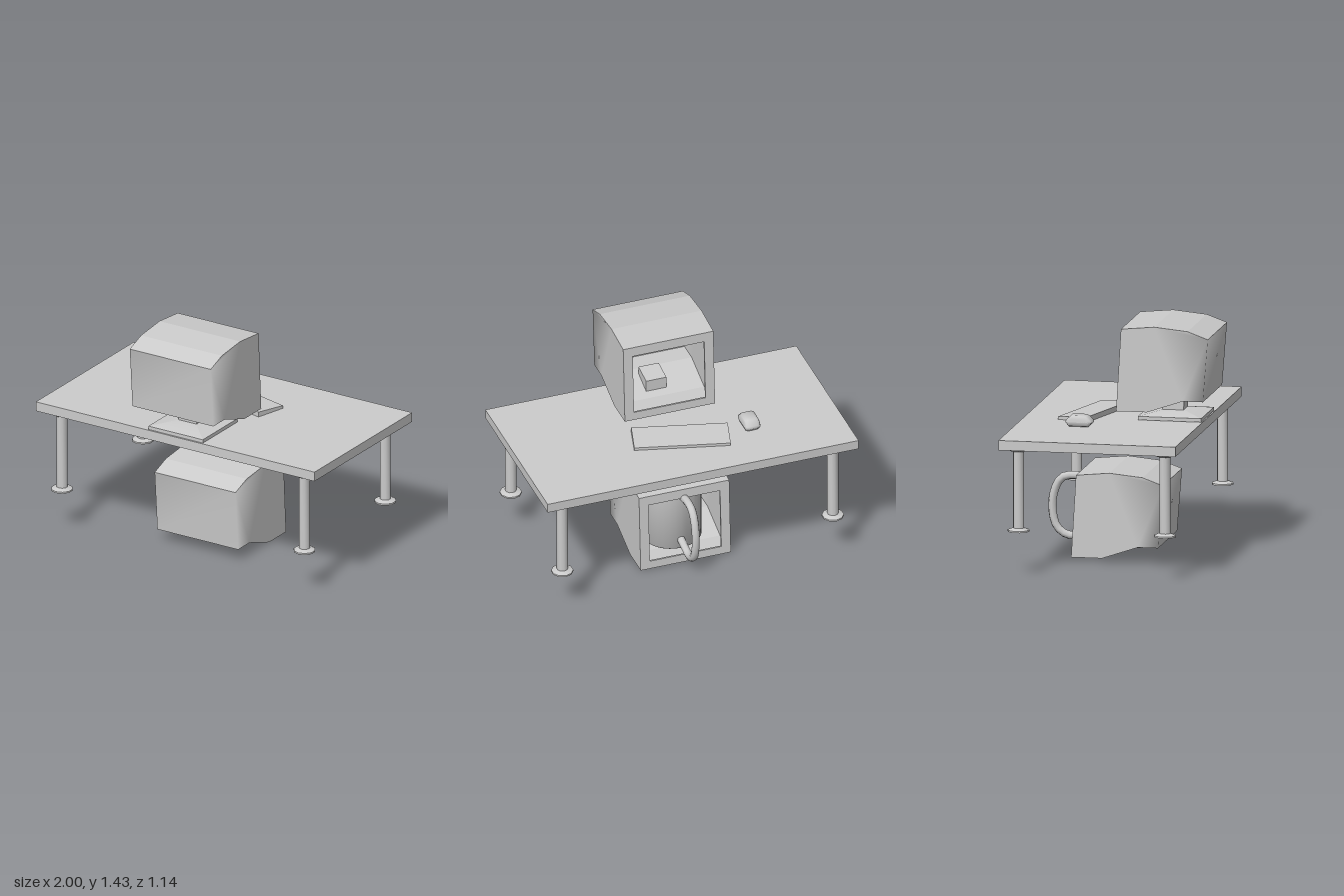
import * as THREE from 'three';
import { toCreasedNormals, mergeVertices, mergeGeometries } from 'three/addons/utils/BufferGeometryUtils.js';

const grey = new THREE.MeshStandardMaterial({ color: 0xcccccc });
const thin = new THREE.MeshStandardMaterial({ color: 0xcccccc, side: THREE.DoubleSide });

function add(parent, name, geometry, x = 0, y = 0, z = 0, material = grey) {
  const mesh = new THREE.Mesh(geometry, material);
  mesh.name = name;
  mesh.position.set(x, y, z);
  parent.add(mesh);
  return mesh;
}

// Extrude a side profile of [z, y] points across x, centred on x = 0
function sideExtrude(points, width, bevel = 0) {
  const shape = new THREE.Shape(points.map(p => new THREE.Vector2(...p)));
  const depth = width - 2 * bevel;
  const geo = new THREE.ExtrudeGeometry(shape, {
    depth, bevelEnabled: bevel > 0, bevelSize: bevel, bevelThickness: bevel,
    bevelOffset: -bevel, bevelSegments: 2
  });
  return geo.translate(0, 0, -depth / 2).rotateY(-Math.PI / 2);
}

// Open-fronted casing: walls shade smoothly together, top and bottom stay crisp
function casingGeometry(profile, width) {
  const source = sideExtrude(profile, width);
  const pos = source.attributes.position;
  const walls = [], caps = [];
  const tri = new THREE.Triangle(), n = new THREE.Vector3();
  for (let i = 0; i < pos.count; i += 3) {
    tri.setFromAttributeAndIndices(pos, i, i + 1, i + 2);
    tri.getNormal(n);
    if (n.z < -0.8) continue; // the bezel takes the place of this face
    const list = Math.abs(n.y) > 0.25 || n.y > 0.09 || n.y < -0.09 ? caps : walls;
    for (const v of [tri.a, tri.b, tri.c]) list.push(v.x, v.y, v.z);
  }
  const make = list => {
    const g = new THREE.BufferGeometry();
    g.setAttribute('position', new THREE.Float32BufferAttribute(list, 3));
    return g;
  };
  const smooth = mergeVertices(make(walls), 1e-4);
  smooth.computeVertexNormals();
  const flat = make(caps);
  flat.computeVertexNormals();
  return mergeGeometries([smooth.toNonIndexed(), flat]);
}

// Hollow monitor casing with a framed opening on its -z side
function createCasing(name) {
  const group = new THREE.Group();
  group.name = name;
  const profile = [
    [0.01, 0.91], [0.20, 0.91], [0.42, 0.985], [0.545, 0.985],
    [0.575, 1.37], [0.45, 1.415], [0.245, 1.435], [0.04, 1.415]
  ];
  add(group, 'casingShell', casingGeometry(profile, 0.58), 0, 0, 0, thin);

  const rect = (Type, w, y0, y1) => new Type([
    new THREE.Vector2(-w, y0), new THREE.Vector2(w, y0),
    new THREE.Vector2(w, y1), new THREE.Vector2(-w, y1)
  ]);
  const frame = rect(THREE.Shape, 0.29, 0, 0.506);
  frame.holes.push(rect(THREE.Path, 0.23, 0.052, 0.445));
  const bezel = add(group, 'screenBezel',
    new THREE.ExtrudeGeometry(frame, { depth: 0.012, bevelEnabled: false }), 0, 0.91, 0.01, thin);
  bezel.rotation.x = Math.atan2(0.03, 0.505);
  return group;
}

function lathe(points, sides) {
  const geo = new THREE.LatheGeometry(points.map(p => new THREE.Vector2(...p)), sides);
  return toCreasedNormals(geo, 0.9);
}

export function createModel() {
  const model = new THREE.Group();
  model.name = 'computerDesk';

  // Table
  const table = new THREE.Group();
  table.name = 'table';
  model.add(table);
  add(table, 'tableTop', new THREE.BoxGeometry(2, 0.06, 1.09), 0, 0.81, -0.025);
  const legGeo = lathe([
    [0, 0.262], [0.067, 0.262], [0.067, 0.272], [0.034, 0.284], [0.034, 0.757],
    [0.05, 0.757], [0.063, 0.765], [0.063, 0.782], [0, 0.782]
  ], 10);
  for (const x of [-0.87, 0.87])
    for (const z of [-0.472, 0.43]) add(table, 'tableLeg', legGeo, x, 0, z);

  // Monitor on its stand
  const monitor = createCasing('monitor');
  model.add(monitor);
  add(monitor, 'standBase', new THREE.BoxGeometry(0.39, 0.022, 0.39), 0, 0.854, 0.32);
  const slope = new THREE.CylinderGeometry(0.07 * Math.SQRT2, 0.19 * Math.SQRT2, 0.024, 4, 1, false, Math.PI / 4);
  add(monitor, 'standSlope', toCreasedNormals(slope, 0.2), 0, 0.877, 0.32);
  add(monitor, 'standNeck', sideExtrude([
    [0.25, 0.88], [0.38, 0.88], [0.385, 1.02], [0.25, 1.0]
  ], 0.13));

  // Keyboard, turned slightly on the desk
  const keyboard = add(model, 'keyboard', sideExtrude([
    [-0.1, 0], [0.1, 0], [0.1, 0.032], [-0.1, 0.018]
  ], 0.585), 0, 0.84, -0.182);
  keyboard.rotation.y = -0.26;

  // Mouse
  add(model, 'mouse', toCreasedNormals(sideExtrude([
    [-0.245, 0.84], [-0.125, 0.84], [-0.1, 0.865], [-0.105, 0.88],
    [-0.14, 0.91], [-0.23, 0.91], [-0.263, 0.88], [-0.266, 0.865]
  ], 0.1, 0.022), 0.9), -0.438, 0, 0);

  // Second casing under the table
  const lower = createCasing('lowerCasing');
  lower.position.set(0, -0.908, -0.277);
  model.add(lower);

  // Mug inside the lower casing, its handle reaching out of the opening
  const mug = new THREE.Group();
  mug.name = 'mug';
  model.add(mug);
  add(mug, 'mugBody', lathe([
    [0, 0.045], [0.18, 0.045], [0.188, 0.053], [0.188, 0.485],
    [0.168, 0.485], [0.168, 0.07], [0, 0.07]
  ], 32));
  const path = new THREE.CatmullRomCurve3([
    [0.43, -0.18], [0.445, -0.25], [0.453, -0.315], [0.437, -0.38], [0.38, -0.42], [0.27, -0.442],
    [0.15, -0.422], [0.1, -0.38], [0.08, -0.32], [0.092, -0.26], [0.11, -0.18]
  ].map(([y, z]) => new THREE.Vector3(0, y, z)));
  add(mug, 'mugHandle', new THREE.TubeGeometry(path, 20, 0.025, 8));

  return model;
}
